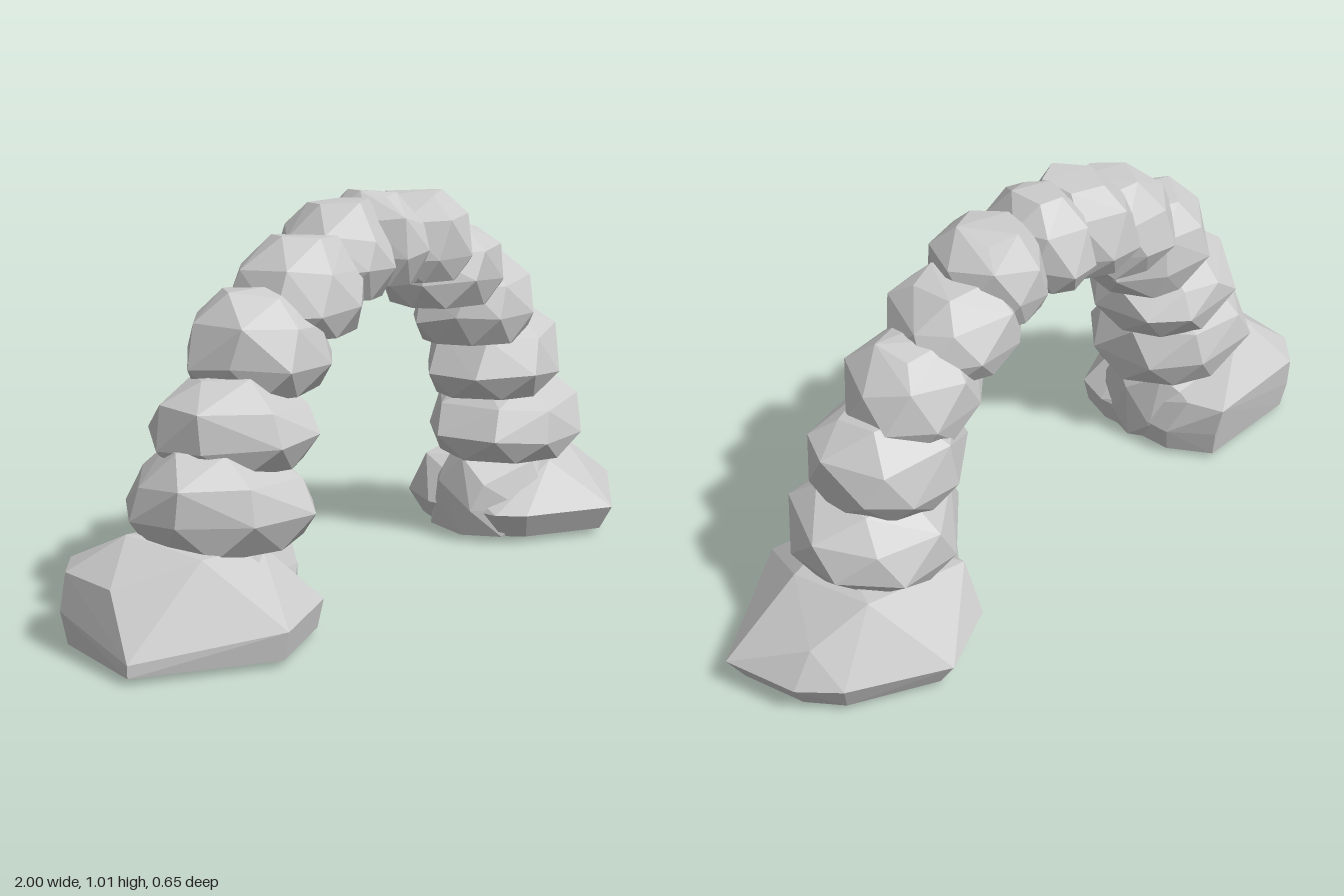
import * as THREE from 'three';
import { ConvexGeometry } from 'three/addons/geometries/ConvexGeometry.js';

const V = (x, y, z) => new THREE.Vector3(x, y, z);

// small seeded generator for irregular facets
function seeded(seed) {
  let s = seed * 7919 + 17;
  return () => ((s = (s * 16807) % 2147483647) / 2147483647);
}

// flat-bottomed faceted stone fitted to the box x0..x1, y0..y1, z0..z1;
// lean shifts the crown along x (in half widths), full squares the sides up
function stoneGeometry(seed, [x0, x1, y0, y1, z0, z1, lean, full]) {
  const rnd = seeded(seed);
  for (let i = 0; i < 5; i++) rnd();
  const rings = [ // height, radius, corners
    [0, 0.78, 8], [0.3, 1, 8], [0.68, 0.88, 7], [0.96, 0.46, 5],
  ];
  const pts = [];
  rings.forEach(([h, r, n], k) => {
    for (let i = 0; i < n; i++) {
      const a = ((i + k * 0.5 + (rnd() - 0.5) * 0.35) / n) * Math.PI * 2;
      const q = (r + full * (1 - r)) * (0.95 + rnd() * 0.1);
      const y = k === 0 ? 0 : h + (rnd() - 0.5) * 0.12;
      pts.push(V(Math.cos(a) * q + lean * h * h, y, Math.sin(a) * q));
    }
  });
  const box = new THREE.Box3().setFromPoints(pts);
  const size = box.getSize(V(0, 0, 0));
  pts.forEach((p) => p.sub(box.min).divide(size)
    .multiply(V(x1 - x0, y1 - y0, z1 - z0)).add(V(x0, y0, z0)));
  return new ConvexGeometry(pts);
}

// footing boulder: broad rim, inset underside and a few crown points
function footingGeometry(rim, crown, cx, inset) {
  const pts = [...rim, ...crown].map((p) => V(...p));
  rim.forEach(([x, , z]) => {
    pts.push(V(cx + (x - cx) * inset, 0.02, z * inset));
    pts.push(V(cx + (x - cx) * 0.5, 0.004, z * 0.5));
  });
  return new ConvexGeometry(pts);
}

export function createModel() {
  const group = new THREE.Group();
  const stone = new THREE.MeshStandardMaterial({ color: 0xcccccc });
  stone.name = 'grey stone';
  const add = (name, geometry) => {
    const mesh = new THREE.Mesh(geometry, stone);
    mesh.name = name;
    group.add(mesh);
  };

  // footing boulders
  add('rightFooting', footingGeometry(
    [[-1, 0.05, 0.08], [-0.94, 0.1, -0.2], [-0.84, 0.1, -0.27], [-0.5, 0.1, -0.26],
      [-0.43, 0.09, -0.14], [-0.43, 0.09, 0.1], [-0.47, 0.09, 0.2], [-0.7, 0.09, 0.29]],
    [[-1, 0.02, 0.08], [-0.95, 0.19, -0.02], [-0.92, 0.19, -0.2], [-0.83, 0.19, -0.28],
      [-0.5, 0.19, -0.28], [-0.82, 0.275, -0.1], [-0.8, 0.25, 0.12], [-0.6, 0.24, 0.12],
      [-0.47, 0.19, -0.18]], -0.72, 0.95));
  add('leftFooting', footingGeometry(
    [[1, 0.09, 0.1], [0.96, 0.09, -0.1], [0.89, 0.1, -0.2], [0.65, 0.09, -0.33],
      [0.46, 0.09, -0.25], [0.38, 0.09, -0.12], [0.37, 0.09, 0.12], [0.42, 0.09, 0.19],
      [0.65, 0.09, 0.325]],
    [[0.9, 0.18, -0.1], [0.78, 0.235, 0.08], [0.76, 0.27, -0.16], [0.56, 0.22, 0.17],
      [0.45, 0.21, -0.18], [0.64, 0.25, 0.1]], 0.68, 0.87));

  // arch stones from one foot over the crown to the other: box, lean, fullness
  const stones = [
    [-0.8, -0.42, 0.02, 0.245, -0.19, 0.18, 0, 0.75],
    [-0.83, -0.39, 0.23, 0.47, -0.21, 0.21, -0.15, 0.1],
    [-0.75, -0.35, 0.41, 0.63, -0.19, 0.19, -0.1, 0.1],
    [-0.65, -0.27, 0.57, 0.825, -0.19, 0.16, -0.05, 0.1],
    [-0.49, -0.14, 0.69, 0.93, -0.175, 0.155, 0.2, 0.1],
    [-0.305, -0.01, 0.76, 1.0, -0.18, 0.14, 0.2, 0.1],
    [-0.12, 0.1, 0.78, 1.015, -0.175, 0.135, 0, 0],
    [0.03, 0.305, 0.77, 1.0, -0.165, 0.13, 0, 0.1],
    [0.12, 0.47, 0.69, 0.905, -0.175, 0.14, 0, 0.1],
    [0.25, 0.61, 0.57, 0.81, -0.17, 0.155, 0, 0.1],
    [0.31, 0.725, 0.41, 0.66, -0.19, 0.185, 0.2, 0],
    [0.34, 0.79, 0.23, 0.455, -0.21, 0.215, 0.15, 0.1],
    [0.345, 0.78, 0.02, 0.24, -0.18, 0.18, 0, 0.75],
  ];
  stones.forEach((s, i) => add(`archStone${i + 1}`, stoneGeometry(i + 3, s)));

  return group;
}
